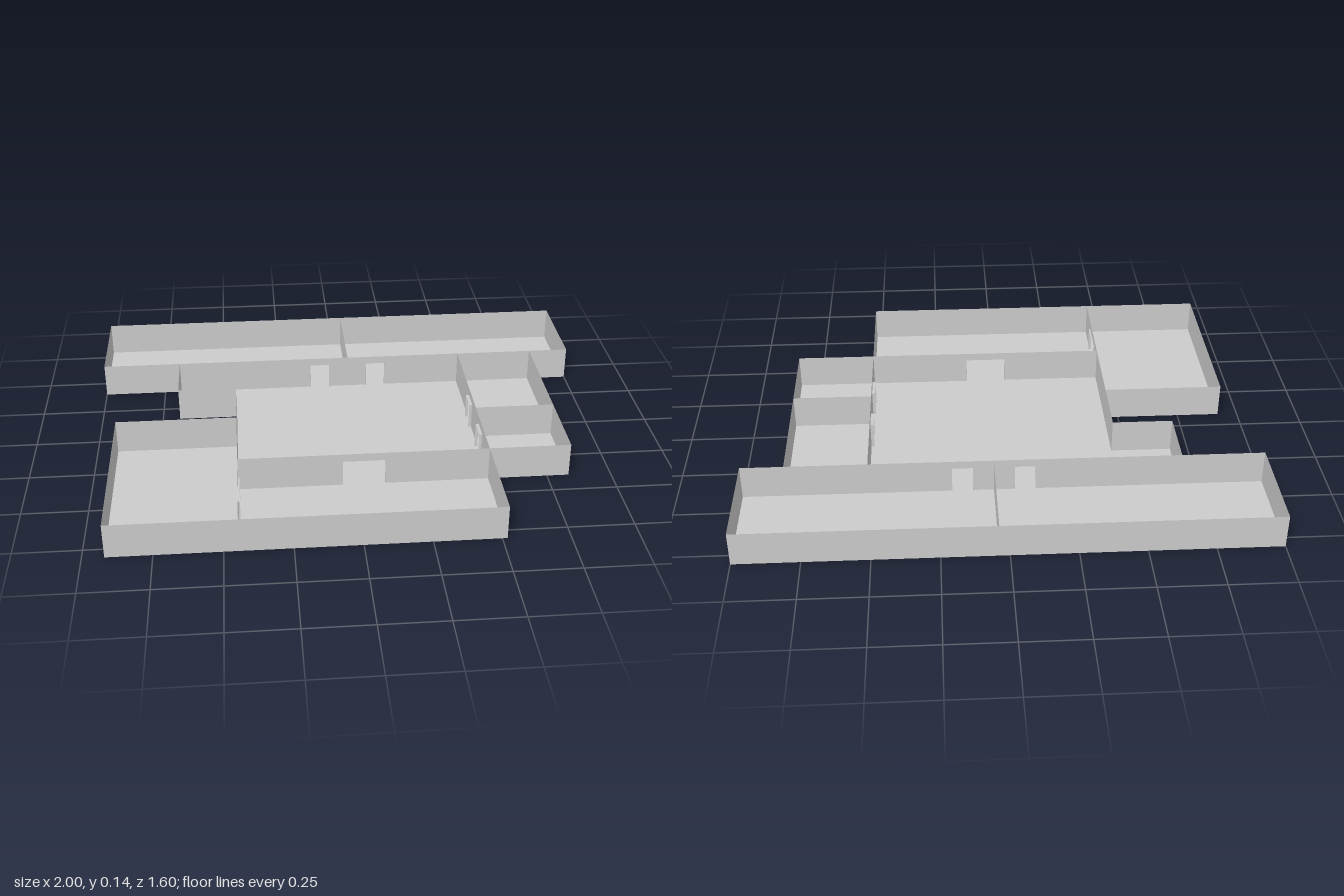
import * as THREE from 'three';

const HEIGHT = 0.135;
const DOOR_HEIGHT = 0.103;
const REVEAL = 0.012;
const material = new THREE.MeshStandardMaterial({ color: 0xcccccc, side: THREE.DoubleSide });

// Outline of the whole floor, as [x, z]
const outline = [
  [-1, -0.8], [1, -0.8], [1, -0.4], [0.835, -0.4], [0.835, 0.398], [0.519, 0.398],
  [0.519, 0.8], [-0.92, 0.8], [-0.92, 0.08], [-0.443, 0.08], [-0.443, -0.163],
  [-0.68, -0.163], [-0.68, -0.4], [-1, -0.4],
];

// Inner walls: start, end, doors as [from, to] along the wall, sideways shift of the door reveal
const partitions = [
  { name: 'backHallWall', a: [-0.68, -0.4], b: [0.835, -0.4], doors: [[0.56, 0.64], [0.8, 0.88]], shift: 0 },
  { name: 'backDivider', a: [0.04, -0.8], b: [0.04, -0.4] },
  { name: 'leftHallWall', a: [0.519, -0.4], b: [0.519, 0.398], doors: [[0.315, 0.4], [0.555, 0.64]], shift: 0.006 },
  { name: 'sideRoomDivider', a: [0.519, 0.08], b: [0.835, 0.08] },
  { name: 'frontHallWall', a: [-0.443, 0.398], b: [0.519, 0.398], doors: [[0.4, 0.563]], shift: -0.006 },
  { name: 'rightHallWall', a: [-0.443, 0.08], b: [-0.443, 0.398] },
  { name: 'frontDivider', a: [-0.443, 0.398], b: [-0.443, 0.8], doors: [[0.08, 0.245]], shift: 0 },
];

function addMesh(parent, geometry, name) {
  const mesh = new THREE.Mesh(geometry, material);
  mesh.name = name;
  parent.add(mesh);
  return mesh;
}

// Thin upright wall from a to b, with doorways cut up from the floor
function makeWall({ name, a, b, doors = [], shift = 0 }) {
  const wall = new THREE.Group();
  wall.name = name;
  const dx = b[0] - a[0], dz = b[1] - a[1];
  const length = Math.hypot(dx, dz);

  const shape = new THREE.Shape();
  shape.moveTo(0, 0);
  for (const [from, to] of doors) {
    shape.lineTo(from, 0);
    shape.lineTo(from, DOOR_HEIGHT);
    shape.lineTo(to, DOOR_HEIGHT);
    shape.lineTo(to, 0);
  }
  shape.lineTo(length, 0);
  shape.lineTo(length, HEIGHT);
  shape.lineTo(0, HEIGHT);
  addMesh(wall, new THREE.ShapeGeometry(shape), 'wallSheet');

  // Jambs and head lining each doorway
  for (const [from, to] of doors) {
    for (const x of [from, to]) {
      const jamb = new THREE.PlaneGeometry(REVEAL, DOOR_HEIGHT).rotateY(Math.PI / 2);
      addMesh(wall, jamb, 'doorJamb').position.set(x, DOOR_HEIGHT / 2, shift);
    }
    const head = new THREE.PlaneGeometry(to - from, REVEAL).rotateX(Math.PI / 2);
    addMesh(wall, head, 'doorHead').position.set((from + to) / 2, DOOR_HEIGHT, shift);
  }

  wall.position.set(a[0], 0, a[1]);
  wall.rotation.y = -Math.atan2(dz, dx);
  return wall;
}

export function createModel() {
  const model = new THREE.Group();
  model.name = 'floorPlan';

  // Floor
  const floorShape = new THREE.Shape(outline.map(([x, z]) => new THREE.Vector2(x, -z)));
  addMesh(model, new THREE.ShapeGeometry(floorShape).rotateX(-Math.PI / 2), 'floor');

  // Outer walls follow the floor outline
  outline.forEach((a, i) => {
    model.add(makeWall({ name: 'outerWall', a, b: outline[(i + 1) % outline.length] }));
  });

  // Inner walls
  partitions.forEach((p) => model.add(makeWall(p)));

  return model;
}
